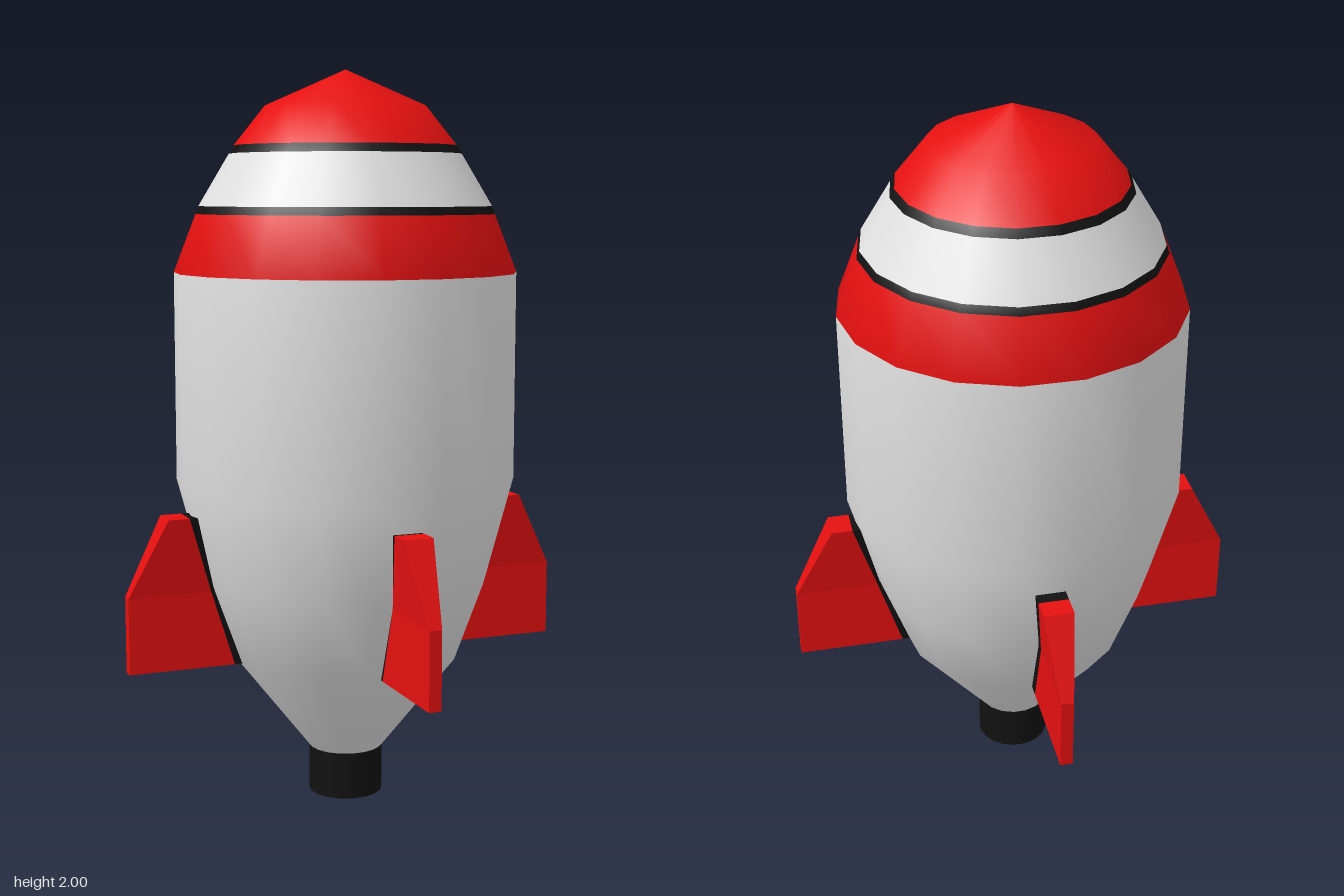
import * as THREE from 'three';

const SIDES = 18;
const PHI = Math.PI / SIDES; // puts a flat side towards the front

const material = (name, color) => {
  const m = new THREE.MeshStandardMaterial({ color });
  m.name = name;
  return m;
};

// Turned shell; bands[j] is the material index of the strip above profile point j
function bandedLathe(profile, bands) {
  const points = profile.map(([r, y]) => new THREE.Vector2(r, y));
  const geo = new THREE.LatheGeometry(points, SIDES, PHI);
  const n = points.length;
  const index = [];
  geo.clearGroups();
  for (let j = 0; j < n - 1; j++) {
    const start = index.length;
    for (let i = 0; i < SIDES; i++) {
      const a = i * n + j, b = a + n;
      index.push(a, b, a + 1, b + 1, a + 1, b);
    }
    geo.addGroup(start, index.length - start, bands[j]);
  }
  geo.setIndex(index);
  return geo;
}

// Flat-sided solid through rectangles [y, inner, outer, halfThickness], bottom to top
function finSolid(rows) {
  const rings = rows.map(([y, a, b, h]) => [[a, y, h], [b, y, h], [b, y, -h], [a, y, -h]]);
  const pos = [];
  const quad = (a, b, c, d) => pos.push(...a, ...b, ...c, ...a, ...c, ...d);
  for (let k = 0; k < rings.length - 1; k++) {
    const lo = rings[k], hi = rings[k + 1];
    for (let i = 0; i < 4; i++) {
      const j = (i + 1) % 4;
      quad(lo[i], lo[j], hi[j], hi[i]);
    }
  }
  const bottom = rings[0], top = rings[rings.length - 1];
  quad(bottom[3], bottom[2], bottom[1], bottom[0]);
  quad(top[0], top[1], top[2], top[3]);
  const geo = new THREE.BufferGeometry();
  geo.setAttribute('position', new THREE.Float32BufferAttribute(pos, 3));
  geo.computeVertexNormals();
  return geo;
}

export function createModel() {
  const white = material('hull white', 0xe0e0e0);
  const red = material('rocket red', 0xe51010);
  const black = material('trim black', 0x111111);
  const model = new THREE.Group();
  model.name = 'rocket';

  const add = (name, geo, mat, parent = model) => {
    const mesh = new THREE.Mesh(geo, mat);
    mesh.name = name;
    parent.add(mesh);
    return mesh;
  };

  // Hull with painted nose bands
  const profile = [
    [0.102, 0.13], [0.315, 0.4], [0.395, 0.62], [0.467, 0.89], [0.467, 1.46],
    [0.406, 1.617], [0.398, 1.638], [0.315, 1.777], [0.302, 1.799], [0.217, 1.905], [0, 2],
  ];
  const bands = [0, 0, 0, 0, 1, 2, 0, 2, 1, 1];
  add('hull', bandedLathe(profile, bands), [white, red, black]).position.z = 0.013;

  // Engine nozzle
  const nozzle = add('nozzle', new THREE.CylinderGeometry(0.102, 0.102, 0.14, SIDES, 1, false, PHI), black);
  nozzle.position.set(0, 0.07, 0.013);

  // Four fins, each with a black root strip against the hull
  const finGeo = finSolid([
    [0.397, 0.332, 0.627, 0.017], [0.605, 0.397, 0.627, 0.017], [0.815, 0.462, 0.52, 0.041],
  ]);
  const rootGeo = finSolid([
    [0.397, 0.25, 0.332, 0.017], [0.605, 0.32, 0.397, 0.017], [0.815, 0.38, 0.462, 0.041],
  ]);
  ['leftFin', 'backFin', 'rightFin', 'frontFin'].forEach((name, i) => {
    const fin = new THREE.Group();
    fin.name = name;
    fin.rotation.y = i * Math.PI / 2;
    if (i % 2) fin.position.x = -0.005;
    else fin.position.z = 0.013;
    add('finBlade', finGeo, red, fin);
    add('finRoot', rootGeo, black, fin);
    model.add(fin);
  });

  return model;
}
